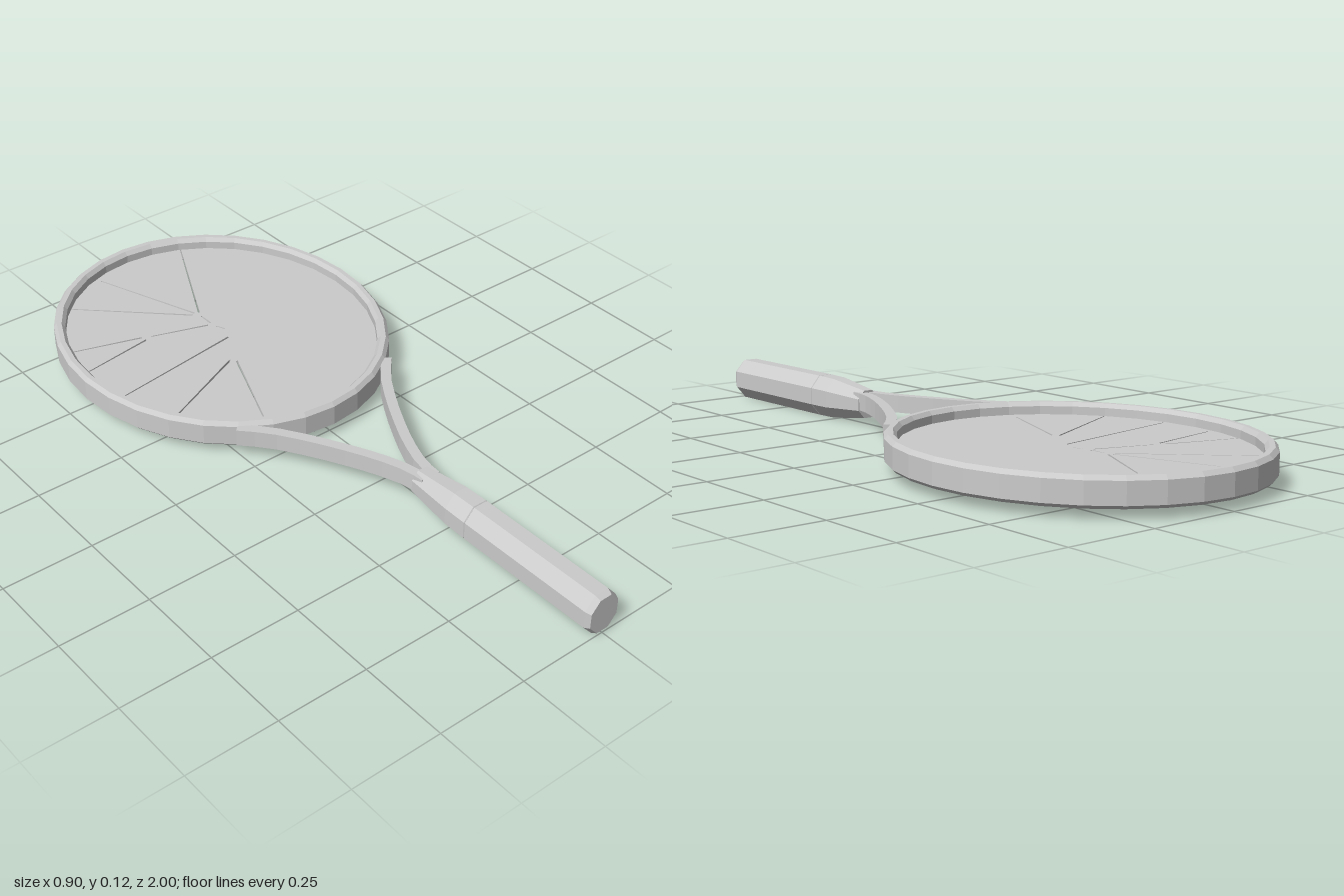
import * as THREE from 'three';

const V = (x, y) => new THREE.Vector2(x, y);

export function createModel() {
  const racket = new THREE.Group();
  racket.name = 'racket';
  const material = new THREE.MeshStandardMaterial({ color: 0xcccccc, flatShading: true });
  const add = (name, geometry) => {
    const mesh = new THREE.Mesh(geometry, material);
    mesh.name = name;
    racket.add(mesh);
  };

  // Extrudes a plan outline (x, z) downwards from the height top
  const slab = (shape, top, depth) =>
    new THREE.ExtrudeGeometry(shape, { depth, bevelEnabled: false, curveSegments: 32 })
      .rotateX(Math.PI / 2)
      .translate(0, top, 0);

  const headZ = -0.49;

  // Oval hoop with chamfered edges
  const hoopProfile = [
    V(0.45, 0.033), V(0.45, 0.089), V(0.441, 0.1), V(0.428, 0.1),
    V(0.419, 0.089), V(0.419, 0.033), V(0.428, 0.024), V(0.441, 0.024), V(0.45, 0.033),
  ];
  add('hoop', new THREE.LatheGeometry(hoopProfile, 32).scale(1, 1, 0.51 / 0.45).translate(0, 0, headZ));

  // Thin string bed, split by narrow cracks that taper towards the rim
  const bed = new THREE.Shape();
  bed.absellipse(0, headZ, 0.424, 0.48, 0, Math.PI * 2);
  const cracks = [
    [0.035, -0.457, 0.4, -0.325], [0.015, -0.452, -0.4, -0.393],
    [0.022, -0.472, 0.004, -0.515], [0, -0.54, 0, -0.585],
    [0.006, -0.605, 0.165, -0.925], [-0.006, -0.61, -0.12, -0.925],
    [-0.016, -0.605, -0.27, -0.85], [-0.012, -0.535, -0.17, -0.588],
    [-0.195, -0.6, -0.39, -0.662], [-0.19, -0.583, -0.4, -0.552],
    [-0.215, -0.625, -0.35, -0.77], [-0.065, -0.355, -0.35, -0.225],
    [-0.055, -0.34, -0.155, -0.085],
  ];
  for (const [x0, z0, x1, z1] of cracks) {
    const a = V(x0, z0), b = V(x1, z1);
    const side = b.clone().sub(a).normalize().rotateAround(V(0, 0), Math.PI / 2).multiplyScalar(0.003);
    bed.holes.push(new THREE.Path([
      a.clone().add(side), a.clone().sub(side),
      b.clone().addScaledVector(side, -0.6), b.clone().addScaledVector(side, 0.6),
    ]));
  }
  add('stringBed', slab(bed, 0.067, 0.01));

  // Two curved throat arms joining the hoop to the handle
  for (const [name, s] of [['leftThroatArm', 1], ['rightThroatArm', -1]]) {
    const path = new THREE.SplineCurve([
      V(0.015 * s, 0.4), V(0.022 * s, 0.34), V(0.05 * s, 0.26), V(0.088 * s, 0.18),
      V(0.137 * s, 0.09), V(0.195 * s, 0), V(0.255 * s, -0.066),
    ]);
    const outer = [], inner = [];
    for (let i = 0; i <= 10; i++) {
      const p = path.getPoint(i / 10), t = path.getTangent(i / 10);
      const n = V(-t.y, t.x).multiplyScalar(0.014);
      outer.push(p.clone().add(n));
      inner.unshift(p.clone().sub(n));
    }
    add(name, slab(new THREE.Shape([...outer, ...inner]), 0.091, 0.048));
  }

  // Eight-sided grip with a tapered neck, a fine seam and a chamfered butt
  const k = 0.05 / Math.cos(Math.PI / 8);
  const gripProfile = [
    [0, 0.37], [0.68, 0.37], [0.98, 0.51], [1, 0.578], [0.95, 0.58],
    [1, 0.582], [1, 0.985], [0.87, 1], [0, 1],
  ].map(([r, z]) => V(r * k, z));
  add('handle', new THREE.LatheGeometry(gripProfile, 8, Math.PI / 8)
    .rotateX(Math.PI / 2)
    .scale(1, 1.15, 1)
    .translate(0, 0.0575, 0));

  return racket;
}
